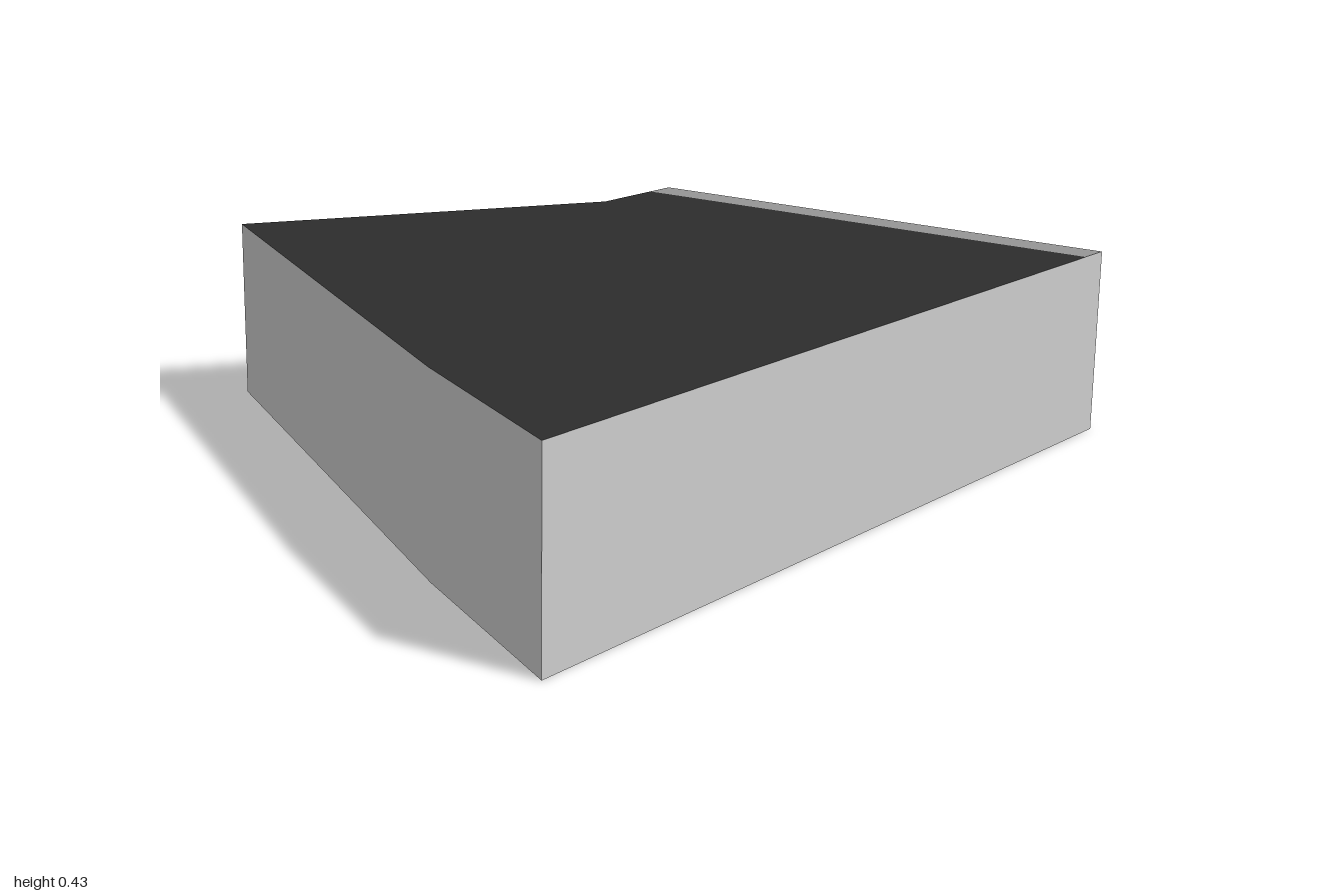
import * as THREE from 'three';

export function createModel() {
  const group = new THREE.Group();
  group.name = 'building';

  const makeMaterial = (name, color, side = THREE.FrontSide) => {
    const m = new THREE.MeshStandardMaterial({ color, side });
    m.name = name;
    return m;
  };
  const wallGrey = makeMaterial('wall grey', 0xcccccc, THREE.DoubleSide);
  const trimGrey = makeMaterial('trim grey', 0x969696);
  const charcoal = makeMaterial('charcoal', 0x2d2d2d, THREE.DoubleSide);
  const floorBrown = makeMaterial('floor brown', 0xa08871, THREE.DoubleSide);

  const height = 0.43;
  const lintelBottom = 0.345;
  const depth = 0.08;
  const left = 0.88, right = -0.39, back = -1;

  const add = (name, geometry, material, x = 0, y = 0, z = 0) => {
    const mesh = new THREE.Mesh(geometry, material);
    mesh.name = name;
    mesh.position.set(x, y, z);
    group.add(mesh);
  };

  // Footprint corners as [x, z], going round from the back left corner
  const corners = [[left, back], [left, 1], [0.41, 0.78], [-0.88, 0.09], [right, -0.73], [right, back]];

  // Horizontal sheet from a list of [x, z] corners, facing up
  const sheet = (points) => {
    const shape = new THREE.Shape(points.map(([x, z]) => new THREE.Vector2(x, -z)));
    return new THREE.ShapeGeometry(shape).rotateX(-Math.PI / 2);
  };
  add('floor', sheet(corners), floorBrown);

  // The roof stops short of the strip over the entrance
  const roofCorners = corners.map(([x, z]) => [x, z === back ? back + depth : z]);
  add('roof', sheet(roofCorners), charcoal, 0, height);

  // Closed walls, one sheet per side; the back stays open for the entrance
  for (let i = 0; i < corners.length - 1; i++) {
    const [x0, z0] = corners[i];
    const [x1, z1] = corners[i + 1];
    const geometry = new THREE.PlaneGeometry(Math.hypot(x1 - x0, z1 - z0), height);
    geometry.rotateY(Math.atan2(z0 - z1, x1 - x0) + Math.PI);
    add('wall' + (i + 1), geometry, wallGrey, (x0 + x1) / 2, height / 2, (z0 + z1) / 2);
  }

  // Upright piece of the entrance front between two x positions
  const backPiece = (name, x0, x1, y0, y1, thickness, material) => add(
    name,
    new THREE.BoxGeometry(Math.abs(x1 - x0), y1 - y0, thickness), material,
    (x0 + x1) / 2, (y0 + y1) / 2, back + thickness / 2
  );
  const inset = 0.001; // keeps the ends behind the side walls
  backPiece('lintel', left - inset, right + inset, lintelBottom, height, depth, trimGrey);
  backPiece('pillar', 0.4, 0.31, 0, lintelBottom, depth, trimGrey);

  // Dark glazing, with the open doorway between the last two panes
  const panes = [[left - inset, 0.4], [0.31, 0.08], [-0.14, right + inset]];
  panes.forEach(([x0, x1], i) => {
    backPiece('windowPane' + (i + 1), x0, x1, 0, lintelBottom, 0.009, charcoal);
  });

  return group;
}
